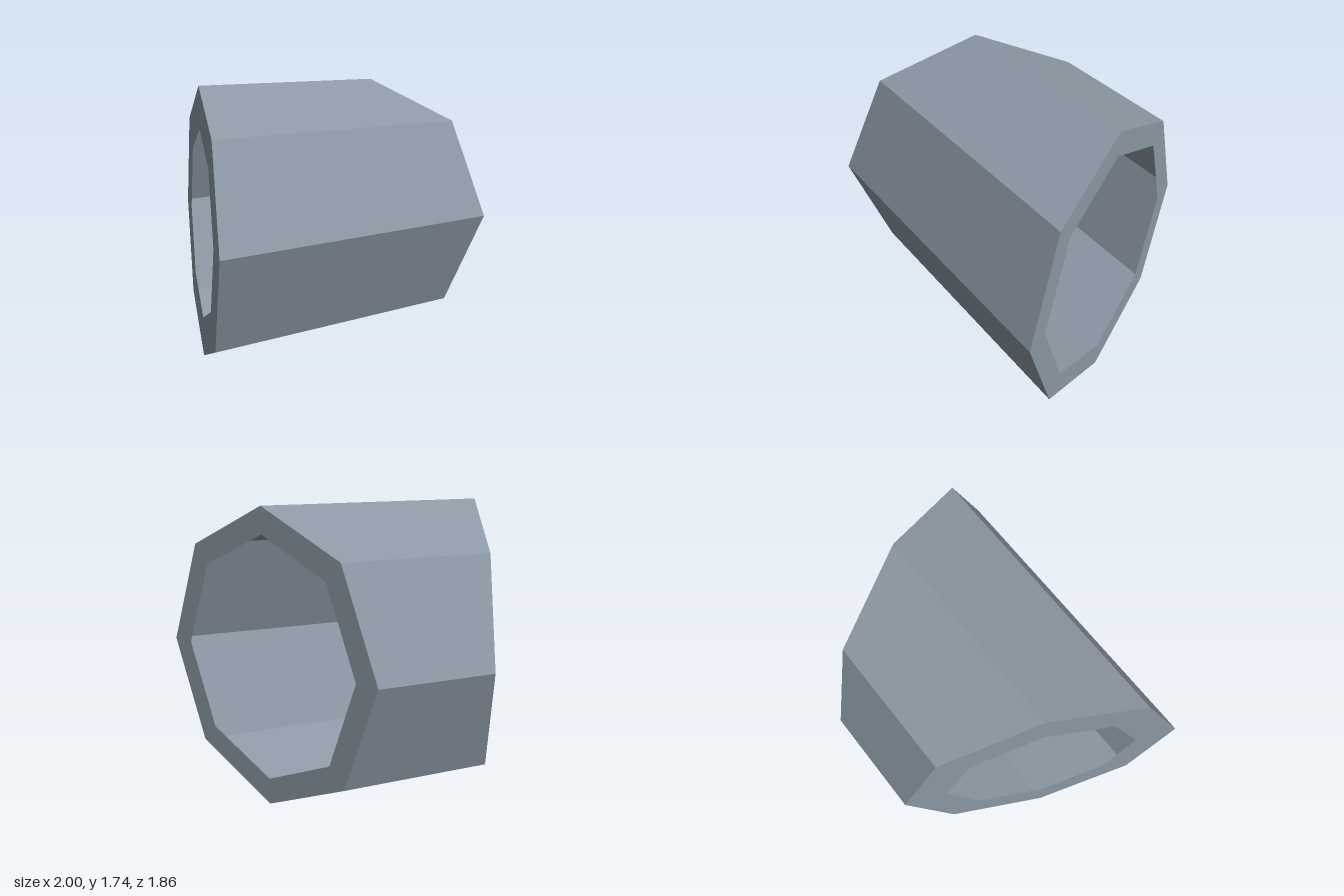
import * as THREE from 'three';

const SIDES = 8;
const MID_Y = 0.8685;

// Octagonal cross-section where the slanted tube meets each cutting plane
function frontRing(scale) {
  return ring(-0.387, 0.613 * scale, MID_Y * scale, x => x + 0.702);
}
function backRing(scale) {
  return ring(0.13, 0.866 * scale, MID_Y * scale, () => -0.935);
}
function ring(cx, rx, ry, zOf) {
  return Array.from({ length: SIDES }, (_, i) => {
    const a = (i / SIDES) * Math.PI * 2;
    const x = cx + rx * Math.cos(a);
    return new THREE.Vector3(x, MID_Y + ry * Math.sin(a), zOf(x));
  });
}

// Flat-faced band joining two rings, facing right of the a-to-b direction
function band(name, a, b, material) {
  const points = [];
  for (let i = 0; i < SIDES; i++) {
    const j = (i + 1) % SIDES;
    points.push(a[i], b[i], b[j], a[i], b[j], a[j]);
  }
  const geometry = new THREE.BufferGeometry().setFromPoints(points);
  geometry.computeVertexNormals();
  const mesh = new THREE.Mesh(geometry, material);
  mesh.name = name;
  return mesh;
}

export function createModel() {
  const group = new THREE.Group();
  group.name = 'slantedOctagonalTube';

  const steel = new THREE.MeshStandardMaterial({ color: 0x8c99a5, side: THREE.DoubleSide, flatShading: true });
  steel.name = 'blue grey';

  const front = frontRing(1);
  const back = backRing(1);

  // Thin outer shell, with a flat rim at each open end
  group.add(band('outerWall', front, back, steel));
  group.add(band('frontRim', frontRing(0.7), front, steel));
  group.add(band('backRim', back, backRing(0.82), steel));
  return group;
}
